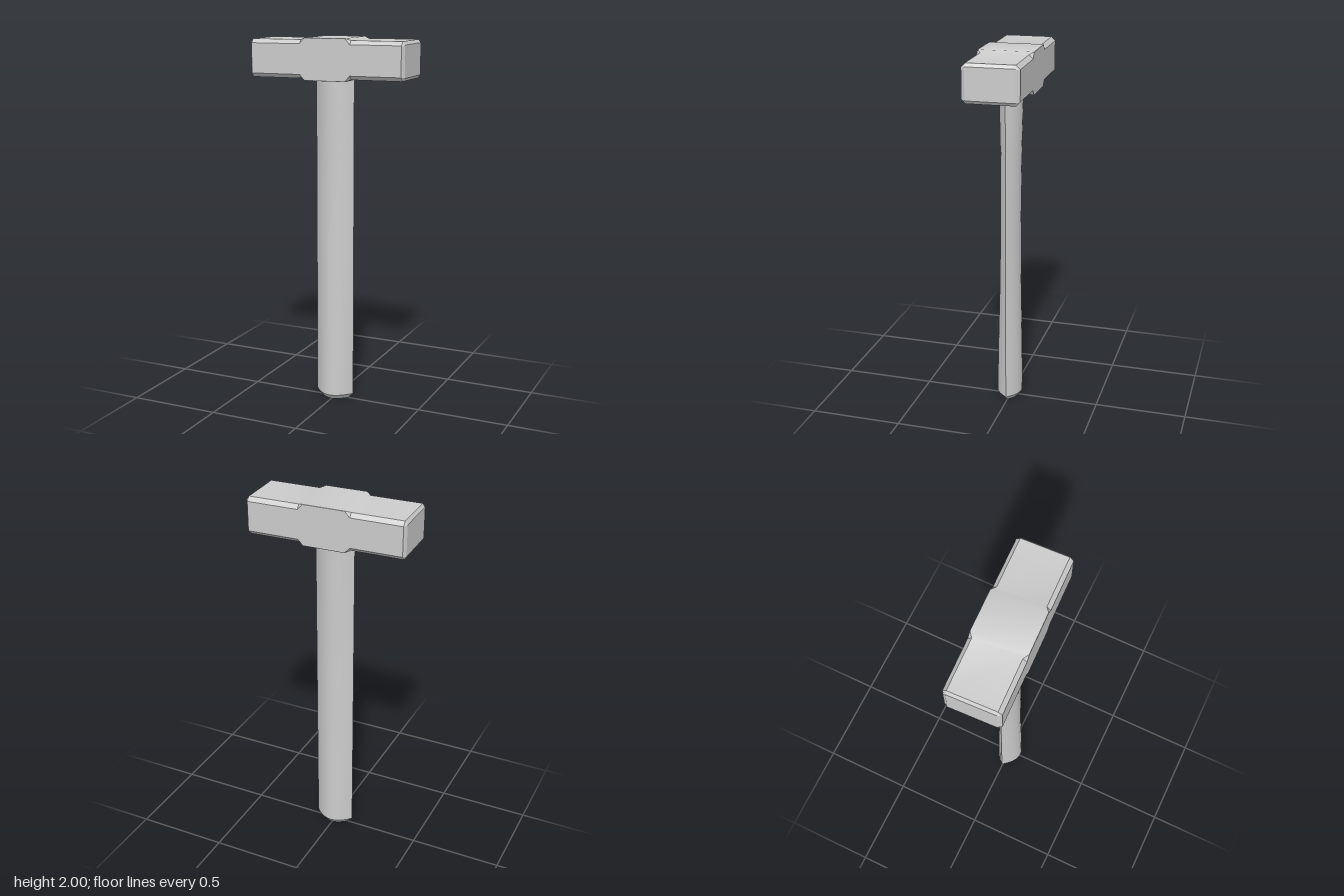
import * as THREE from 'three';
import { toCreasedNormals } from 'three/addons/utils/BufferGeometryUtils.js';

// Skin a closed solid over rings of [x, y, z] points, counter-clockwise as seen from the last ring
function loft(rings, crease) {
  const n = rings[0].length;
  const index = [];
  const last = (rings.length - 1) * n;
  for (let i = 0; i < rings.length - 1; i++) {
    for (let j = 0; j < n; j++) {
      const a = i * n + j, b = i * n + (j + 1) % n;
      index.push(a, b, b + n, a, b + n, a + n);
    }
  }
  for (let j = 1; j < n - 1; j++) {
    index.push(0, j + 1, j, last, last + j, last + j + 1);
  }
  const geometry = new THREE.BufferGeometry();
  geometry.setAttribute('position', new THREE.Float32BufferAttribute(rings.flat(2), 3));
  geometry.setIndex(index);
  return toCreasedNormals(geometry, crease);
}

// Chamfered rectangle across the head at x
function headRing(x, w, h, c) {
  return [
    [h, -w + c], [h, w - c], [h - c, w], [-h + c, w],
    [-h, w - c], [-h, -w + c], [-h + c, -w], [h - c, -w],
  ].map(([y, z]) => [x, y, z]);
}

// Lens-shaped section of the handle, with separate front and back depths
function handleRing(y, halfWidth, front, back) {
  const steps = 10, ring = [];
  for (const [side, depth] of [[1, front], [-1, back]]) {
    for (let i = 0; i < steps; i++) {
      const t = side * (-1 + 2 * i / steps);
      ring.push([halfWidth * t, y, side * depth * (1 - t * t)]);
    }
  }
  return ring;
}

export function createModel() {
  const group = new THREE.Group();
  const material = new THREE.MeshStandardMaterial({ color: 0xcccccc });

  // Head: square-edged middle block, chamfered arms, bevelled striking faces
  const half = [
    [0.43, 0.127, 0.083, 0.003],
    [0.417, 0.147, 0.1, 0.021],
    [0.14, 0.147, 0.1, 0.021],
    [0.113, 0.147, 0.11, 0.001],
  ];
  const stations = [
    ...half.map(([x, ...size]) => [-x, ...size]),
    ...half.slice().reverse(),
  ];
  const head = new THREE.Mesh(loft(stations.map((s) => headRing(...s)), 0.4), material);
  head.name = 'head';
  head.position.y = 1.89;
  head.rotation.y = 0.037;
  group.add(head);

  // Handle: constant width, waisted depth, bevelled butt
  const profile = [
    [0, 0.08, 0.05, 0.042],
    [0.03, 0.11, 0.077, 0.064],
    [0.3, 0.11, 0.072, 0.062],
    [0.6, 0.11, 0.063, 0.057],
    [0.9, 0.11, 0.057, 0.054],
    [1.2, 0.11, 0.054, 0.055],
    [1.4, 0.11, 0.054, 0.057],
    [1.6, 0.11, 0.058, 0.061],
    [1.85, 0.11, 0.065, 0.068],
  ];
  const handle = new THREE.Mesh(loft(profile.map((p) => handleRing(...p)), 0.5), material);
  handle.name = 'handle';
  group.add(handle);

  return group;
}
